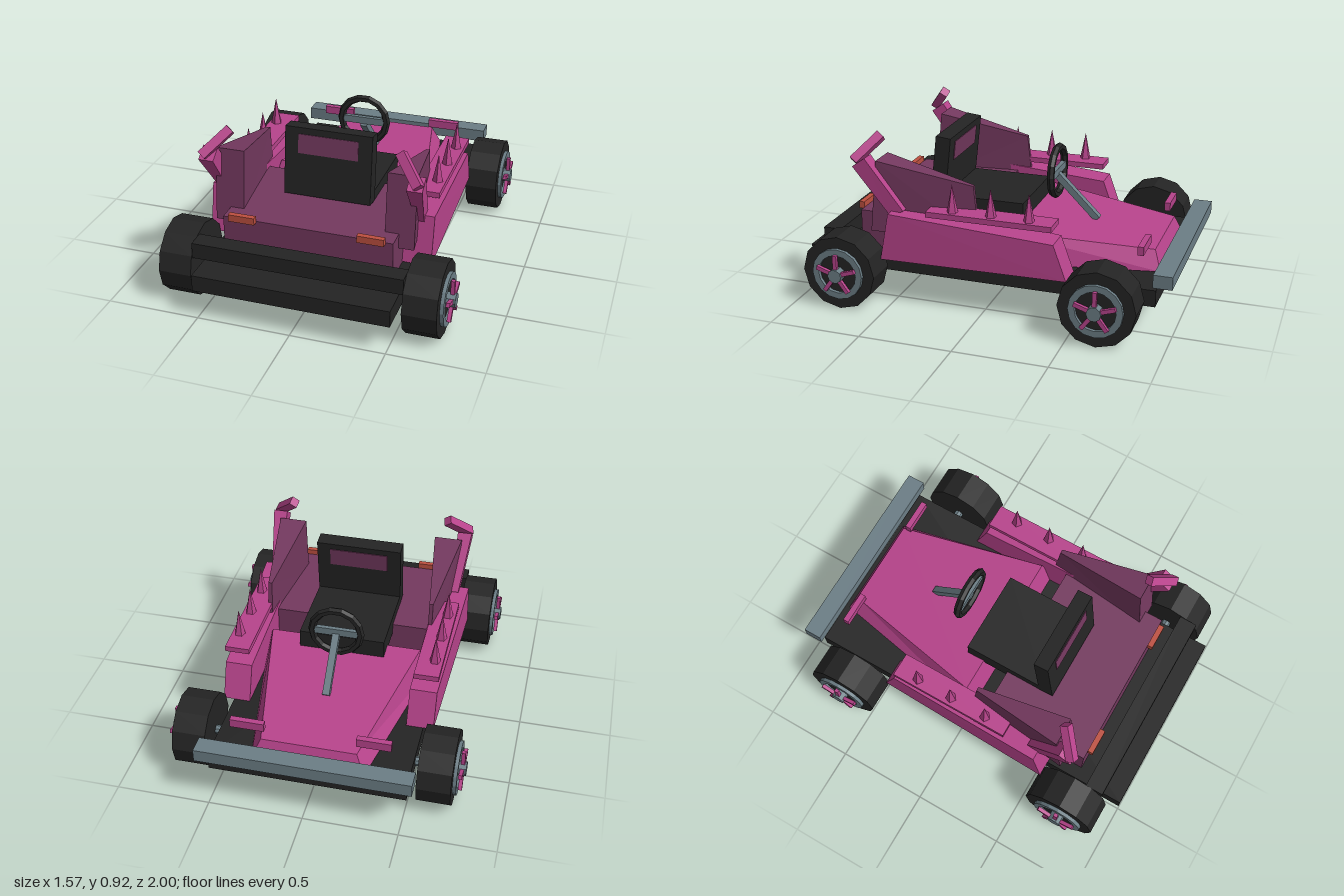
import * as THREE from 'three';

const mat = (name, color) => {
  const m = new THREE.MeshStandardMaterial({ color, flatShading: true });
  m.name = name;
  return m;
};

// Closed solid from matching cross-section rings, always wound outward.
function loft(rings) {
  const tris = [];
  const n = rings[0].length;
  for (let r = 0; r < rings.length - 1; r++) {
    for (let i = 0; i < n; i++) {
      const j = (i + 1) % n;
      const a = rings[r][i], b = rings[r][j], c = rings[r + 1][j], d = rings[r + 1][i];
      tris.push([a, b, c], [a, c, d]);
    }
  }
  const first = rings[0], last = rings[rings.length - 1];
  for (let i = 1; i < n - 1; i++) {
    tris.push([first[0], first[i + 1], first[i]], [last[0], last[i], last[i + 1]]);
  }
  let volume = 0;
  const v = (p) => new THREE.Vector3(...p);
  for (const [a, b, c] of tris) volume += v(a).dot(v(b).cross(v(c)));
  if (volume < 0) tris.forEach((t) => t.reverse());
  const g = new THREE.BufferGeometry();
  g.setAttribute('position', new THREE.Float32BufferAttribute(tris.flat(2), 3));
  g.computeVertexNormals();
  return g;
}

export function createModel() {
  const kart = new THREE.Group();
  kart.name = 'kart';
  const pink = mat('pink paint', 0xb8448c);
  const purple = mat('purple panel', 0x74395f);
  const dark = mat('dark rubber', 0x242424);
  const steel = mat('steel', 0x6c7e86);
  const red = mat('tail light red', 0xbe5040);

  const add = (name, geo, material, parent = kart) => {
    const m = new THREE.Mesh(geo, material);
    m.name = name;
    parent.add(m);
    return m;
  };
  // Box given by its limits on each axis
  const box = (name, [x0, x1], [y0, y1], [z0, z1], material, parent = kart) => {
    const m = add(name, new THREE.BoxGeometry(x1 - x0, y1 - y0, z1 - z0), material, parent);
    m.position.set((x0 + x1) / 2, (y0 + y1) / 2, (z0 + z1) / 2);
    return m;
  };
  const side = (s, a, b) => (s > 0 ? [a, b] : [-b, -a]);

  // Chassis and bumpers
  box('floorPan', [-0.52, 0.52], [0.16, 0.25], [-0.91, 1], dark);
  box('rearBumper', [-0.556, 0.556], [0.29, 0.375], [0.8, 0.9], dark);
  box('noseBumper', [-0.56, 0.56], [0.282, 0.352], [-1, -0.9], steel);

  // Tapered nose
  const hoodRing = (wb, yb, zb, wt, yt, zt) =>
    [[-wb, yb, zb], [wb, yb, zb], [wt, yt, zt], [-wt, yt, zt]];
  add('hood', loft([
    hoodRing(0.295, 0.255, -0.885, 0.25, 0.357, -0.845),
    hoodRing(0.47, 0.255, 0.03, 0.42, 0.425, -0.02),
  ]), pink);

  // Rear body
  box('rearBody', [-0.453, 0.453], [0.25, 0.458], [0.13, 0.725], purple);

  // Seat
  box('seatCushion', [-0.235, 0.235], [0.4, 0.515], [-0.12, 0.36], dark);
  const back = new THREE.Group();
  back.name = 'seatBack';
  back.position.set(0, 0.655, 0.35);
  back.rotation.x = -0.11;
  kart.add(back);
  box('backrest', [-0.237, 0.237], [-0.19, 0.185], [-0.042, 0.042], dark, back);
  box('backrestPanel', [-0.163, 0.163], [0.045, 0.15], [-0.046, 0.046], purple, back);

  // Steering wheel and column
  const steering = new THREE.Group();
  steering.name = 'steering';
  steering.position.set(0, 0.64, -0.24);
  kart.add(steering);
  add('steeringRim', new THREE.TorusGeometry(0.132, 0.021, 6, 14), dark, steering);
  box('steeringSpoke', [-0.12, 0.12], [-0.02, 0.02], [-0.012, 0.012], steel, steering);
  const column = add('steeringColumn', new THREE.BoxGeometry(0.038, 0.036, 0.33), steel);
  column.position.set(0, 0.505, -0.355);
  column.rotation.x = -0.78;

  for (const s of [1, -1]) {
    const tag = s > 0 ? 'left' : 'right';

    // Side pod
    const podRing = (outer, yTop, zTop, zBot) => [
      [s * 0.43, 0.255, zBot], [s * outer, 0.255, zBot],
      [s * outer, yTop, zTop], [s * 0.43, yTop, zTop],
    ];
    add(tag + 'SidePod', loft([
      podRing(0.575, 0.447, -0.39, -0.46),
      podRing(0.605, 0.515, 0.5, 0.55),
    ]), pink);

    // Spiked rail
    box(tag + 'SpikeRail', side(s, 0.445, 0.578), [0.513, 0.543], [-0.38, 0.3], pink);
    for (const z of [-0.25, -0.045, 0.165]) {
      const spike = add(tag + 'Spike', new THREE.ConeGeometry(0.032, 0.16, 5), pink);
      spike.position.set(s * 0.535, 0.615, z);
    }

    // Wedge fin behind the cockpit
    const finRing = (x0, x1, yTop, zTop, zBot) => [
      [s * x0, 0.38, zBot], [s * x1, 0.38, zBot],
      [s * x1, yTop, zTop], [s * x0, yTop, zTop],
    ];
    add(tag + 'Fin', loft([
      finRing(0.443, 0.464, 0.67, 0.075, 0.045),
      finRing(0.38, 0.535, 0.775, 0.59, 0.63),
    ]), purple);

    // Bent horn
    const hornRing = (x, y, z, w, dy, dz) => [
      [s * (x - w), y - dy, z + dz], [s * (x + w), y - dy, z + dz],
      [s * (x + w), y + dy, z - dz], [s * (x - w), y + dy, z - dz],
    ];
    add(tag + 'HornStem', loft([
      hornRing(0.53, 0.5, 0.47, 0.022, 0.02, 0.035),
      hornRing(0.545, 0.775, 0.665, 0.04, 0.025, 0.035),
    ]), pink);
    const dir = new THREE.Vector3(s * -0.1, 0.1, -0.09);
    const tip = add(tag + 'HornTip', new THREE.BoxGeometry(0.048, dir.length() + 0.03, 0.048), pink);
    tip.position.set(s * 0.507, 0.832, 0.645);
    tip.quaternion.setFromUnitVectors(new THREE.Vector3(0, 1, 0), dir.normalize());

    // Lights and nose markers
    box(tag + 'TailLight', side(s, 0.272, 0.413), [0.45, 0.488], [0.725, 0.755], red);
    box(tag + 'NoseMarker', side(s, 0.24, 0.42), [0.385, 0.432], [-0.82, -0.788], pink);

    // Wheels, with the outer face toward local +x
    for (const z of [0.735, -0.66]) {
      const wheel = new THREE.Group();
      wheel.name = tag + (z > 0 ? 'RearWheel' : 'FrontWheel');
      wheel.position.set(0, 0.202, z);
      wheel.rotation.y = s > 0 ? 0 : Math.PI;
      kart.add(wheel);
      const disc = (name, r, x0, x1, n, material) => {
        const m = add(name, new THREE.CylinderGeometry(r, r, x1 - x0, n), material, wheel);
        m.rotation.z = -Math.PI / 2;
        m.position.x = (x0 + x1) / 2;
      };
      disc('tyre', 0.202, 0.556, 0.733, 12, dark);
      disc('axle', 0.025, 0.48, 0.74, 8, steel);
      disc('hub', 0.038, 0.733, 0.785, 10, steel);
      const ring = [[0.106, 0], [0.141, 0], [0.141, 0.02], [0.106, 0.02], [0.106, 0]]
        .map(([r, h]) => new THREE.Vector2(r, h));
      const rim = add('rim', new THREE.LatheGeometry(ring, 16), steel, wheel);
      rim.rotation.z = -Math.PI / 2;
      rim.position.x = 0.732;
      for (let i = 0; i < 5; i++) {
        const arm = new THREE.Group();
        arm.name = 'spoke';
        arm.rotation.x = (i * 2 * Math.PI) / 5;
        wheel.add(arm);
        box('spokeBar', [0.755, 0.775], [0.025, 0.112], [-0.011, 0.011], pink, arm);
      }
    }
  }
  return kart;
}
